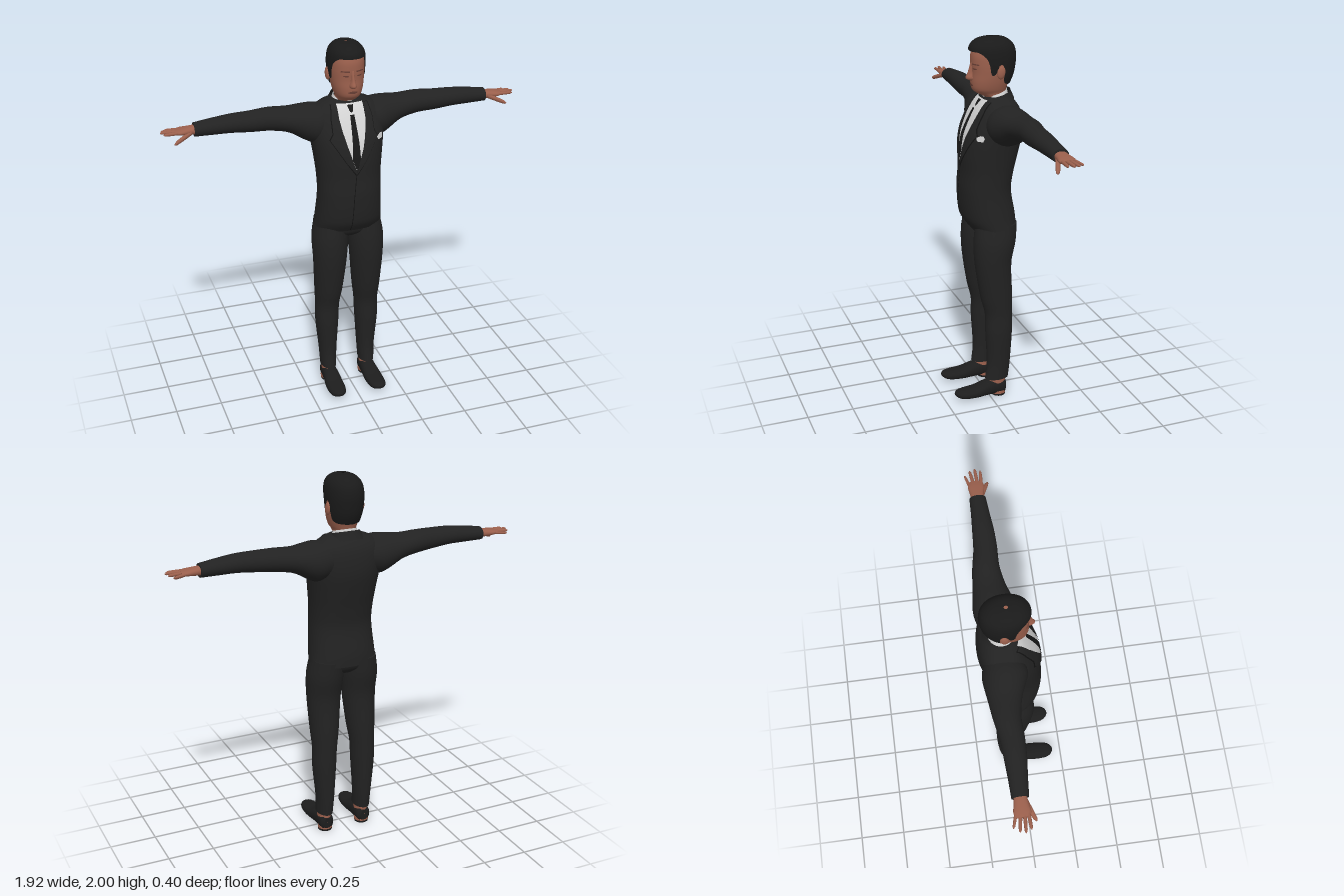
import * as THREE from 'three';

const mat = (name, color, side = THREE.FrontSide) => {
  const m = new THREE.MeshStandardMaterial({ color, side });
  m.name = name;
  return m;
};

// Smooth lookup in a table whose first column is the ascending key
function at(rows, k) {
  const last = rows.length - 1;
  let i = 0;
  while (i < last - 1 && k > rows[i + 1][0]) i++;
  const p = rows[i], q = rows[i + 1], h = q[0] - p[0];
  const t = Math.min(1, Math.max(0, (k - p[0]) / h));
  const o = rows[Math.max(0, i - 1)], r = rows[Math.min(last, i + 2)];
  return p.map((v, c) => {
    const m0 = (q[c] - o[c]) / (q[0] - o[0]) * h;
    const m1 = (r[c] - v) / (r[0] - p[0]) * h;
    const t2 = t * t, t3 = t2 * t;
    return (2 * t3 - 3 * t2 + 1) * v + (t3 - 2 * t2 + t) * m0 + (3 * t2 - 2 * t3) * q[c] + (t3 - t2) * m1;
  });
}

function build(pos, idx) {
  const g = new THREE.BufferGeometry();
  g.setAttribute('position', new THREE.Float32BufferAttribute(pos, 3));
  g.setIndex(idx);
  g.computeVertexNormals();
  return g;
}

// Skin over superellipse sections: [key, centreA, centreB, radiusA, radiusB]
const PLACE = {
  x: (k, a, b) => [k, b, a],
  y: (k, a, b) => [a, k, b],
  z: (k, a, b) => [b, a, k],
};
function loft(axis, rows, { seg = 32, steps = 24, n = 2, cap = true, start = null, warp = null } = {}) {
  const pos = [], idx = [];
  const k0 = rows[0][0], k1 = rows[rows.length - 1][0];
  const pw = v => Math.sign(v) * Math.abs(v) ** (2 / n);
  const put = (k, a, b) => {
    const p = PLACE[axis](k, a, b);
    if (warp) warp(p);
    pos.push(...p);
  };
  const ring = v => {
    for (let j = 0; j < seg; j++) {
      const th = j / seg * Math.PI * 2;
      const from = start ? start(Math.sin(th)) : k0;
      const k = from + (k1 - from) * v;
      const [, a, b, ra, rb] = at(rows, k);
      put(k, a + ra * pw(Math.cos(th)), b + rb * pw(Math.sin(th)));
    }
  };
  for (let i = 0; i <= steps; i++) ring(start ? 1 - (1 - i / steps) ** 2 : i / steps);
  for (let i = 0; i < steps; i++) for (let j = 0; j < seg; j++) {
    const a = i * seg + j, b = i * seg + (j + 1) % seg;
    idx.push(a, a + seg, b, b, a + seg, b + seg);
  }
  if (cap) for (const v of [0, 1]) {
    const base = pos.length / 3, k = v ? k1 : k0, row = at(rows, k);
    ring(v);
    put(k, row[1], row[2]);
    for (let j = 0; j < seg; j++) {
      const a = base + j, b = base + (j + 1) % seg, c = base + seg;
      idx.push(...(v ? [a, c, b] : [a, b, c]));
    }
  }
  return build(pos, idx);
}

// Thin panel lying on the front of a vertical loft: edges are [y, xLeft, xRight]
function panel(body, n, edges, off, nx = 8, ny = 5) {
  const pos = [], idx = [], w = nx + 1, rows = (edges.length - 1) * ny;
  for (let i = 0; i <= rows; i++) {
    const e = Math.min(edges.length - 2, Math.floor(i / ny)), t = i / ny - e;
    const [y, x0, x1] = edges[e].map((v, c) => v + (edges[e + 1][c] - v) * t);
    const [, cx, cz, rx, rz] = at(body, y);
    for (let j = 0; j <= nx; j++) {
      const x = x0 + (x1 - x0) * j / nx, u = Math.min(0.98, Math.abs((x - cx) / rx));
      pos.push(x, y, cz + rz * (1 - u ** n) ** (1 / n) + off);
    }
  }
  for (let i = 0; i < rows; i++) for (let j = 0; j < nx; j++) {
    const a = i * w + j;
    idx.push(a, a + 1, a + w, a + 1, a + w + 1, a + w);
  }
  return build(pos, idx);
}

function mirror(geo) {
  const g = geo.clone().scale(-1, 1, 1), ix = g.index.array;
  for (let i = 0; i < ix.length; i += 3) [ix[i], ix[i + 1]] = [ix[i + 1], ix[i]];
  g.computeVertexNormals();
  return g;
}

const TORSO = [
  [0.995, 0, -0.045, 0.184, 0.125], [1.05, 0, -0.028, 0.178, 0.14], [1.2, 0, -0.01, 0.168, 0.135],
  [1.3, 0, -0.02, 0.17, 0.138], [1.4, 0, -0.033, 0.18, 0.148], [1.5, 0, -0.05, 0.193, 0.15],
  [1.58, 0, -0.066, 0.2, 0.132], [1.64, 0, -0.075, 0.18, 0.108], [1.68, 0, -0.075, 0.125, 0.08],
  [1.695, 0, -0.075, 0.08, 0.063]];
const HEAD = [
  [1.64, 0, -0.07, 0.055, 0.06], [1.69, 0, -0.07, 0.057, 0.06], [1.712, 0, -0.05, 0.056, 0.077],
  [1.73, 0, -0.04, 0.066, 0.09], [1.77, 0, -0.042, 0.078, 0.1], [1.82, 0, -0.05, 0.086, 0.106],
  [1.87, 0, -0.055, 0.089, 0.113], [1.92, 0, -0.058, 0.086, 0.112], [1.96, 0, -0.058, 0.07, 0.09],
  [1.985, 0, -0.055, 0.03, 0.04]];
const HAIR = [
  [1.74, 0, -0.05, 0.075, 0.09], [1.8, 0, -0.055, 0.09, 0.112], [1.85, 0, -0.06, 0.095, 0.117],
  [1.9, 0, -0.058, 0.097, 0.123], [1.95, 0, -0.052, 0.09, 0.118], [1.98, 0, -0.05, 0.07, 0.092],
  [1.995, 0, -0.05, 0.042, 0.058], [2.0, 0, -0.05, 0.008, 0.01]];
// Lower edge of the hair by direction, from back (-1) to front (1)
const HAIRLINE = [[-1, 1.755], [-0.5, 1.765], [-0.3, 1.79], [-0.2, 1.86], [0, 1.865], [0.1, 1.825],
  [0.32, 1.825], [0.42, 1.89], [0.7, 1.93], [1, 1.935]];
const ARM = [
  [0.1, -0.08, 1.575, 0.1, 0.09], [0.17, -0.08, 1.57, 0.113, 0.105], [0.22, -0.087, 1.578, 0.103, 0.095],
  [0.3, -0.097, 1.597, 0.083, 0.068], [0.4, -0.1, 1.61, 0.068, 0.06], [0.5, -0.09, 1.613, 0.06, 0.054],
  [0.6, -0.088, 1.616, 0.055, 0.048], [0.7, -0.09, 1.611, 0.047, 0.042], [0.79, -0.092, 1.605, 0.042, 0.035]];
const LEG = [
  [0.105, 0.112, -0.045, 0.043, 0.066], [0.2, 0.112, -0.055, 0.048, 0.066], [0.4, 0.115, -0.055, 0.064, 0.075],
  [0.5, 0.112, -0.055, 0.066, 0.076], [0.6, 0.108, -0.043, 0.076, 0.088], [0.8, 0.103, -0.025, 0.091, 0.1],
  [0.92, 0.1, -0.035, 0.097, 0.114], [1.02, 0.095, -0.045, 0.085, 0.113]];
const SHOE = [
  [-0.096, 0.05, 0.112, 0.03, 0.02], [-0.085, 0.052, 0.112, 0.043, 0.037], [-0.03, 0.055, 0.112, 0.046, 0.042],
  [0.02, 0.05, 0.113, 0.042, 0.045], [0.08, 0.04, 0.115, 0.031, 0.05], [0.15, 0.039, 0.117, 0.025, 0.046],
  [0.185, 0.042, 0.118, 0.018, 0.032], [0.2, 0.045, 0.118, 0.006, 0.01]];

export function createModel() {
  const model = new THREE.Group();
  const suit = mat('suit black', 0x222222, THREE.DoubleSide), seam = mat('seam black', 0x121212);
  const skin = mat('skin', 0x9a5f4c), feature = mat('dark skin', 0x6a4036);
  const hair = mat('hair black', 0x1a1a1a, THREE.DoubleSide), shirt = mat('shirt white', 0xd4d4d4, THREE.DoubleSide);
  const tie = mat('tie black', 0x191919), shoe = mat('shoe black', 0x1d1d1d);
  const add = (name, geo, m) => {
    const mesh = new THREE.Mesh(geo, m);
    mesh.name = name;
    model.add(mesh);
  };
  const pair = (name, geo, m) => {
    add('left ' + name, geo, m);
    add('right ' + name, mirror(geo), m);
  };

  // Jacket
  const chest = (edges, off, nx) => panel(TORSO, 2.3, edges, off, nx);
  const tilt = s => p => { p[1] -= (p[2] + 0.07) * s; };
  add('jacket body', loft('y', TORSO, { seg: 48, steps: 40, n: 2.3 }), suit);
  add('jacket collar', loft('y', [[1.65, 0, -0.085, 0.105, 0.085], [1.675, 0, -0.085, 0.085, 0.075],
    [1.7, 0, -0.085, 0.072, 0.066]], { cap: false, steps: 8, warp: tilt(0.3) }), suit);
  pair('jacket sleeve', loft('x', ARM, { steps: 32 }), suit);
  pair('lapel edge', chest([[1.33, 0, 0.006], [1.4, 0.016, 0.054], [1.52, 0.054, 0.13], [1.55, 0.06, 0.113],
    [1.62, 0.07, 0.112], [1.68, 0.07, 0.1]], 0.004), seam);
  pair('lapel', chest([[1.335, 0, 0.002], [1.4, 0.016, 0.05], [1.52, 0.054, 0.126], [1.55, 0.06, 0.109],
    [1.62, 0.07, 0.108], [1.68, 0.07, 0.096]], 0.008), suit);
  add('jacket front edge', chest([[1.0, -0.026, -0.022], [1.2, -0.016, -0.012], [1.335, -0.001, 0.003]], 0.003, 1), seam);
  add('pocket square', chest([[1.495, 0.132, 0.16], [1.512, 0.124, 0.164], [1.525, 0.145, 0.158]], 0.006), shirt);

  // Shirt and tie
  add('shirt front', chest([[1.36, -0.002, 0.002], [1.45, -0.035, 0.035], [1.6, -0.07, 0.07],
    [1.685, -0.07, 0.07]], 0.005, 16), shirt);
  add('shirt collar', loft('y', [[1.665, 0, -0.07, 0.078, 0.074], [1.685, 0, -0.07, 0.07, 0.069],
    [1.712, 0, -0.07, 0.061, 0.063]], { cap: false, steps: 8, warp: tilt(0.3) }), shirt);
  add('tie blade', chest([[1.365, -0.004, 0.004], [1.42, -0.022, 0.022], [1.635, -0.011, 0.011]], 0.009), tie);
  add('tie knot', loft('y', [[1.63, 0, 0.024, 0.01, 0.013], [1.65, 0, 0.016, 0.018, 0.018],
    [1.678, 0, 0.002, 0.021, 0.015]], { seg: 16, steps: 8 }), tie);

  // Head
  const face = (edges, off) => panel(HEAD, 2.2, edges, off);
  add('head and neck', loft('y', HEAD, { seg: 48, steps: 40, n: 2.2 }), skin);
  add('hair', loft('y', HAIR, { seg: 96, steps: 24, n: 2.1, cap: false, start: s => at(HAIRLINE, s)[1] }), hair);
  add('nose', loft('y', [[1.782, 0, 0.052, 0.012, 0.018], [1.792, 0, 0.054, 0.019, 0.034],
    [1.82, 0, 0.053, 0.012, 0.024], [1.872, 0, 0.05, 0.009, 0.011]], { seg: 20, steps: 14 }), skin);
  pair('ear', new THREE.SphereGeometry(1, 16, 12).scale(0.012, 0.034, 0.022).rotateX(-0.15).translate(0.094, 1.83, -0.07), skin);
  pair('eyebrow', face([[1.866, 0.018, 0.062], [1.873, 0.016, 0.056]], 0.003), feature);
  pair('eye', face([[1.842, 0.024, 0.046], [1.849, 0.021, 0.05]], 0.002), feature);
  add('mouth', face([[1.752, -0.014, 0.014], [1.759, -0.027, 0.027], [1.765, -0.01, 0.01]], 0.003), feature);

  // Hands
  pair('palm', loft('x', [[0.77, -0.092, 1.606, 0.03, 0.024], [0.82, -0.092, 1.605, 0.036, 0.02],
    [0.86, -0.092, 1.605, 0.042, 0.015], [0.885, -0.092, 1.605, 0.034, 0.01]], { seg: 24, steps: 10, n: 2.3 }), skin);
  const finger = (name, x0, z0, y0, x1, z1, y1, r) => {
    const row = (t, s) => [x0 + (x1 - x0) * t, z0 + (z1 - z0) * t, y0 + (y1 - y0) * t, r * s, r * s];
    pair(name, loft('x', [row(0, 1), row(0.5, 0.95), row(0.9, 0.75), row(1, 0.25)], { seg: 12, steps: 10 }), skin);
  };
  finger('little finger', 0.86, -0.122, 1.604, 0.93, -0.142, 1.6, 0.008);
  finger('ring finger', 0.865, -0.102, 1.606, 0.952, -0.114, 1.605, 0.009);
  finger('middle finger', 0.865, -0.082, 1.607, 0.96, -0.087, 1.608, 0.009);
  finger('index finger', 0.86, -0.064, 1.606, 0.946, -0.06, 1.606, 0.009);
  finger('thumb', 0.805, -0.07, 1.6, 0.9, -0.03, 1.562, 0.013);

  // Trousers
  pair('trouser leg', loft('y', LEG, { steps: 36 }), suit);
  add('trouser seat', loft('y', [[0.935, 0, -0.04, 0.09, 0.06], [0.965, 0, -0.04, 0.165, 0.095],
    [1.03, 0, -0.042, 0.178, 0.115]], { seg: 40, steps: 10, n: 2.3 }), suit);

  // Feet
  pair('ankle', new THREE.CylinderGeometry(0.036, 0.038, 0.07, 24).scale(1, 1, 1.35).translate(0.112, 0.09, -0.045), skin);
  pair('shoe', loft('z', SHOE, { steps: 28, n: 2.3 }), shoe);
  pair('heel strip', new THREE.CylinderGeometry(0.04, 0.04, 0.016, 24).translate(0.112, 0.02, -0.056), skin);
  pair('shoe heel', new THREE.CylinderGeometry(0.04, 0.038, 0.014, 24).translate(0.112, 0.007, -0.056), shoe);
  return model;
}
